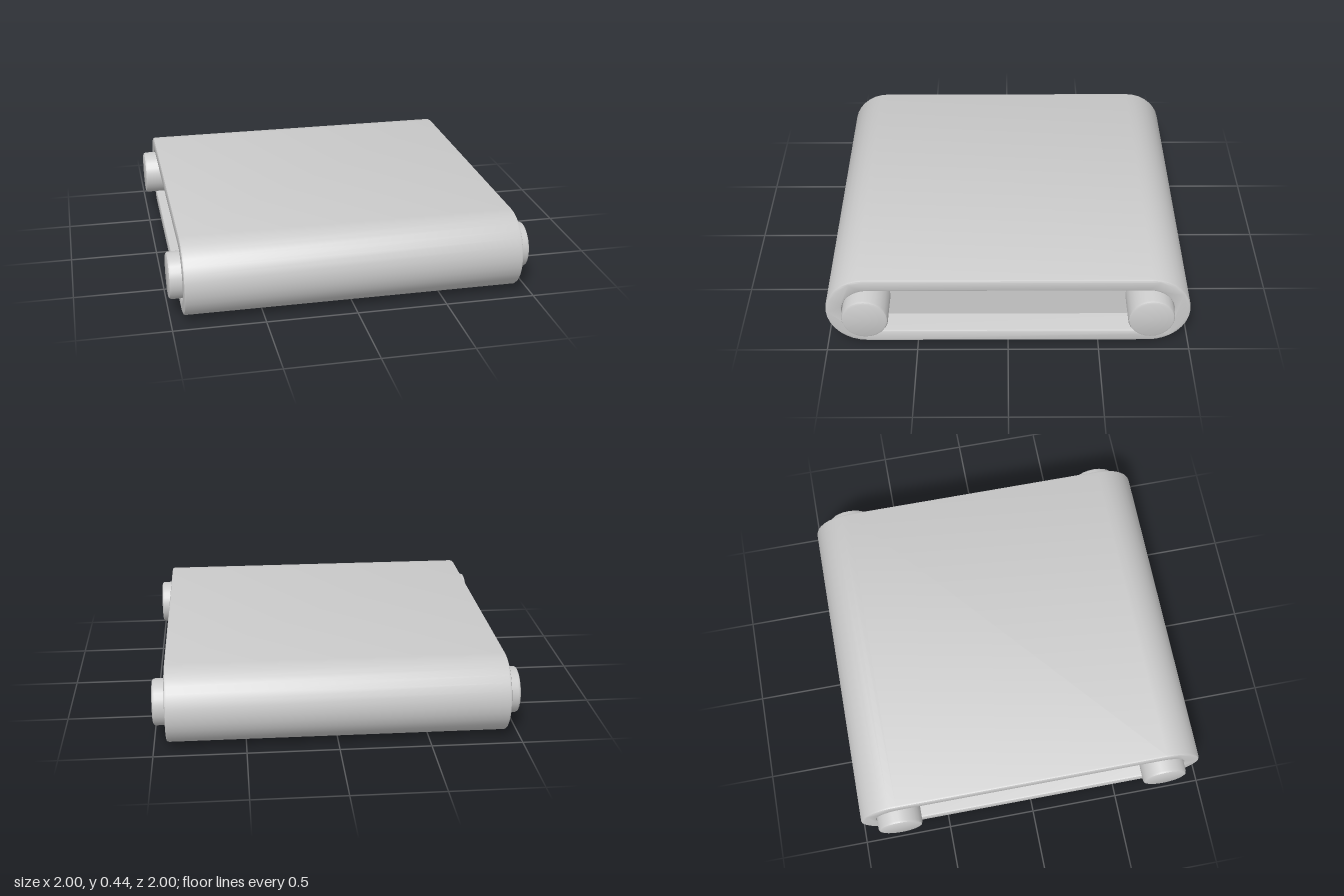
import * as THREE from 'three';
import { toCreasedNormals } from 'three/addons/utils/BufferGeometryUtils.js';

const material = new THREE.MeshStandardMaterial({ color: 0xcccccc });
const MID_Y = 0.22;
const CREASE = 0.6;

// Rounded track outline: two half circles joined by straight runs
function stadium(PathType, halfLength, radius) {
  const c = halfLength - radius;
  const path = new PathType();
  path.absarc(c, 0, radius, -Math.PI / 2, Math.PI / 2, false);
  path.absarc(-c, 0, radius, Math.PI / 2, Math.PI * 1.5, false);
  path.closePath();
  return path;
}

// Extrude a side profile across the width, centred on x = 0
function acrossWidth(shape, width, bevel) {
  const geometry = new THREE.ExtrudeGeometry(shape, {
    depth: width - 2 * bevel,
    curveSegments: 8,
    bevelEnabled: bevel > 0,
    bevelThickness: bevel,
    bevelSize: bevel,
    bevelOffset: -bevel,
    bevelSegments: 2,
  });
  geometry.translate(0, 0, -(width - 2 * bevel) / 2);
  geometry.rotateY(Math.PI / 2);
  return toCreasedNormals(geometry, CREASE);
}

function addMesh(group, name, geometry, z = 0) {
  const mesh = new THREE.Mesh(geometry, material);
  mesh.name = name;
  mesh.position.set(0, MID_Y, z);
  group.add(mesh);
}

export function createModel() {
  const group = new THREE.Group();
  group.name = 'conveyorBelt';

  // Belt loop with softened rims
  const loop = stadium(THREE.Shape, 1, 0.22);
  loop.holes.push(stadium(THREE.Path, 0.91, 0.145));
  addMesh(group, 'belt', acrossWidth(loop, 1.86, 0.012));

  // Recessed core closing the loop on both sides
  addMesh(group, 'core', acrossWidth(stadium(THREE.Shape, 0.912, 0.147), 1.58, 0));

  // Rollers with rounded ends projecting past the belt
  const r = 0.128, b = 0.015;
  const profile = [
    [0, -1], [r - b, -1], [r - b * 0.3, -1 + b * 0.3], [r, -1 + b],
    [r, 1 - b], [r - b * 0.3, 1 - b * 0.3], [r - b, 1], [0, 1],
  ].map(([x, y]) => new THREE.Vector2(x, y));
  const roller = toCreasedNormals(new THREE.LatheGeometry(profile, 24), CREASE);
  roller.rotateZ(Math.PI / 2);
  addMesh(group, 'frontRoller', roller, 0.78);
  addMesh(group, 'backRoller', roller, -0.78);

  return group;
}
